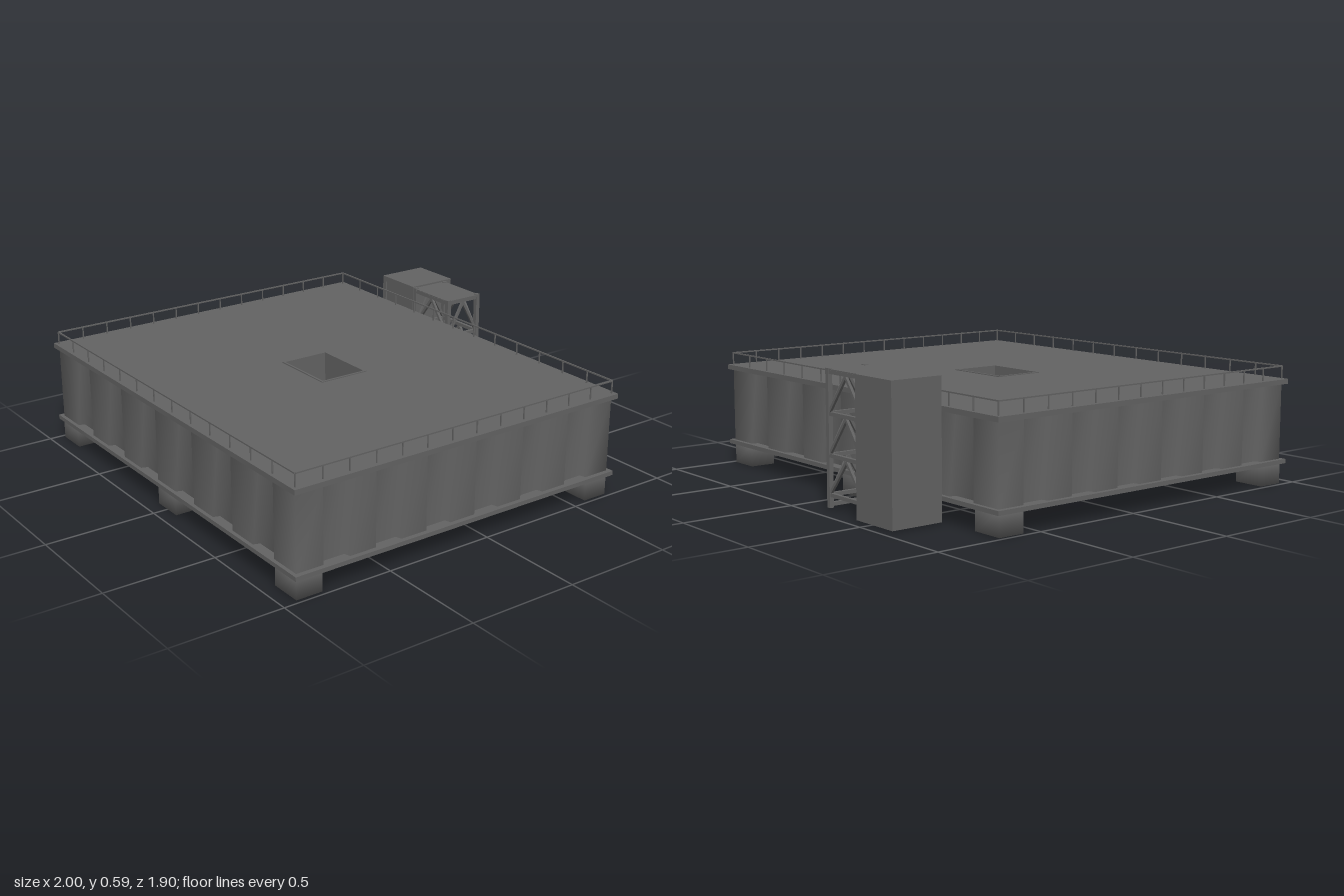
import * as THREE from 'three';
import { mergeVertices } from 'three/addons/utils/BufferGeometryUtils.js';

const gray = new THREE.MeshStandardMaterial({ color: 0x626262 });
gray.name = 'steel gray';

const BAYS = 13;
const X = 0.978, Z0 = -0.695, Z1 = 0.93; // wall outline
const ROOF = 0.47;

function add(parent, name, geometry) {
  const mesh = new THREE.Mesh(geometry, gray);
  mesh.name = name;
  parent.add(mesh);
  return mesh;
}

// box given by its two extreme corners
function block(parent, name, x0, x1, y0, y1, z0, z1) {
  const g = new THREE.BoxGeometry(x1 - x0, y1 - y0, z1 - z0);
  return add(parent, name, g.translate((x0 + x1) / 2, (y0 + y1) / 2, (z0 + z1) / 2));
}

// square bar between two points
function bar(parent, name, a, b, t) {
  const p = new THREE.Vector3(...a), q = new THREE.Vector3(...b);
  const mesh = add(parent, name, new THREE.BoxGeometry(t, t, p.distanceTo(q)));
  mesh.position.copy(p).add(q).multiplyScalar(0.5);
  mesh.lookAt(q);
}

// the four sides, walked anticlockwise as seen from above
const corners = [[-X, Z1], [X, Z1], [X, Z0], [-X, Z0]].map(([x, z]) => new THREE.Vector2(x, z));

// corrugated wall: every second bay is set back
function wallGeometry(y0, y1, depth) {
  const ring = [];
  corners.forEach((a, s) => {
    const b = corners[(s + 1) % 4];
    const along = b.clone().sub(a);
    const inward = new THREE.Vector2(along.y, -along.x).normalize();
    for (let k = 0; k < BAYS; k++) {
      const set = k % 2;
      for (const e of [0, 1]) {
        if (k === BAYS - 1 && e === 1) continue;
        const t = (k + e + (set ? (e ? -0.06 : 0.06) : 0)) / BAYS;
        ring.push(a.clone().addScaledVector(along, t).addScaledVector(inward, set * depth));
      }
    }
  });
  const pos = [], index = [], n = ring.length;
  ring.forEach((p, i) => {
    pos.push(p.x, y0, p.y, p.x, y1, p.y);
    const a = 2 * i, b = 2 * ((i + 1) % n);
    index.push(a, b, b + 1, a, b + 1, a + 1);
  });
  const g = new THREE.BufferGeometry();
  g.setAttribute('position', new THREE.Float32BufferAttribute(pos, 3));
  g.setIndex(index);
  g.computeVertexNormals();
  return g;
}

// foot with softly shaded edges
function footGeometry() {
  const g = new THREE.BoxGeometry(0.146, 0.1, 0.12);
  g.deleteAttribute('normal');
  g.deleteAttribute('uv');
  const welded = mergeVertices(g);
  welded.computeVertexNormals();
  return welded;
}

function buildPlatform(root) {
  const g = new THREE.Group();
  g.name = 'platform';
  root.add(g);
  add(g, 'corrugatedWall', wallGeometry(0.1, 0.452, 0.028));
  block(g, 'bottomFlange', -1, 1, 0.092, 0.111, -0.713, 0.947);

  // roof slab with a hatch opening
  const roof = new THREE.Shape([[-1, -0.947], [1, -0.947], [1, 0.713], [-1, 0.713]].map(p => new THREE.Vector2(...p)));
  roof.holes.push(new THREE.Path([[-0.15, -0.225], [-0.15, 0], [0.15, 0], [0.15, -0.225]].map(p => new THREE.Vector2(...p))));
  add(g, 'roofSlab', new THREE.ExtrudeGeometry(roof, { depth: 0.022, bevelEnabled: false })
    .rotateX(-Math.PI / 2).translate(0, ROOF - 0.022, 0));

  // hatch pit with a slim rim
  for (const s of [-1, 1]) {
    const x = s * 0.151, z = 0.1125 + s * 0.1135;
    block(g, 'pitWall', x - 0.005, x + 0.005, 0.32, ROOF + 0.004, -0.006, 0.231);
    block(g, 'pitWall', -0.156, 0.156, 0.32, ROOF + 0.004, z - 0.005, z + 0.005);
  }
  block(g, 'pitFloor', -0.15, 0.15, 0.31, 0.32, 0, 0.225);

  // feet in two rows of three
  for (const x of [-0.907, 0, 0.907])
    for (const z of [-0.632, 0.872]) add(g, 'foot', footGeometry()).position.set(x, 0.05, z);
}

function buildRailing(root) {
  const g = new THREE.Group();
  g.name = 'railing';
  root.add(g);
  corners.forEach((a, s) => {
    const b = corners[(s + 1) % 4];
    bar(g, 'handrail', [a.x, 0.526, a.y], [b.x, 0.526, b.y], 0.006);
    for (let k = 0; k < BAYS; k++) {
      const p = a.clone().lerp(b, k / BAYS);
      block(g, 'railPost', p.x - 0.0025, p.x + 0.0025, ROOF, 0.526, p.y - 0.0025, p.y + 0.0025);
    }
  });
}

function buildTower(root) {
  const g = new THREE.Group();
  g.name = 'stairTower';
  root.add(g);

  // closed shaft with a raised border on its front
  block(g, 'shaft', -0.652, -0.41, 0.005, 0.59, -0.953, -0.72);
  block(g, 'shaftBorder', -0.652, -0.63, 0.005, 0.59, -0.72, -0.712);
  block(g, 'shaftBorder', -0.432, -0.41, 0.005, 0.59, -0.72, -0.712);
  block(g, 'shaftBorder', -0.63, -0.432, 0.565, 0.59, -0.72, -0.712);
  block(g, 'shaftBorder', -0.63, -0.432, 0.005, 0.025, -0.72, -0.712);

  // open frame beside it
  const xs = [-0.4, -0.153], zs = [-0.905, -0.725];
  for (const x of xs)
    for (const z of zs) block(g, 'framePost', x - 0.01, x + 0.01, 0.005, 0.585, z - 0.01, z + 0.01);
  block(g, 'frameRoof', -0.41, -0.145, 0.565, 0.582, -0.912, -0.718);

  const levels = [0.06, 0.225, 0.398, 0.57];
  for (const y of [0.02, ...levels])
    for (const x of xs) bar(g, 'sideBeam', [x, y, zs[0]], [x, y, zs[1]], 0.016);
  for (const y of levels)
    for (const z of zs) bar(g, 'crossBeam', [xs[0], y, z], [xs[1], y, z], 0.016);

  // diagonal braces rising to the middle of each bay
  const xm = (xs[0] + xs[1]) / 2, zm = (zs[0] + zs[1]) / 2;
  for (let i = 0; i < 3; i++) {
    const y0 = levels[i], y1 = levels[i + 1] - 0.01;
    for (const x of xs)
      for (const z of zs) {
        bar(g, 'brace', [x, y0, z], [x, y1, zm], 0.012);
        bar(g, 'brace', [x, y0, z], [xm, y1, z], 0.012);
      }
  }
}

export function createModel() {
  const root = new THREE.Group();
  root.name = 'raisedPlatform';
  buildPlatform(root);
  buildRailing(root);
  buildTower(root);
  return root;
}
